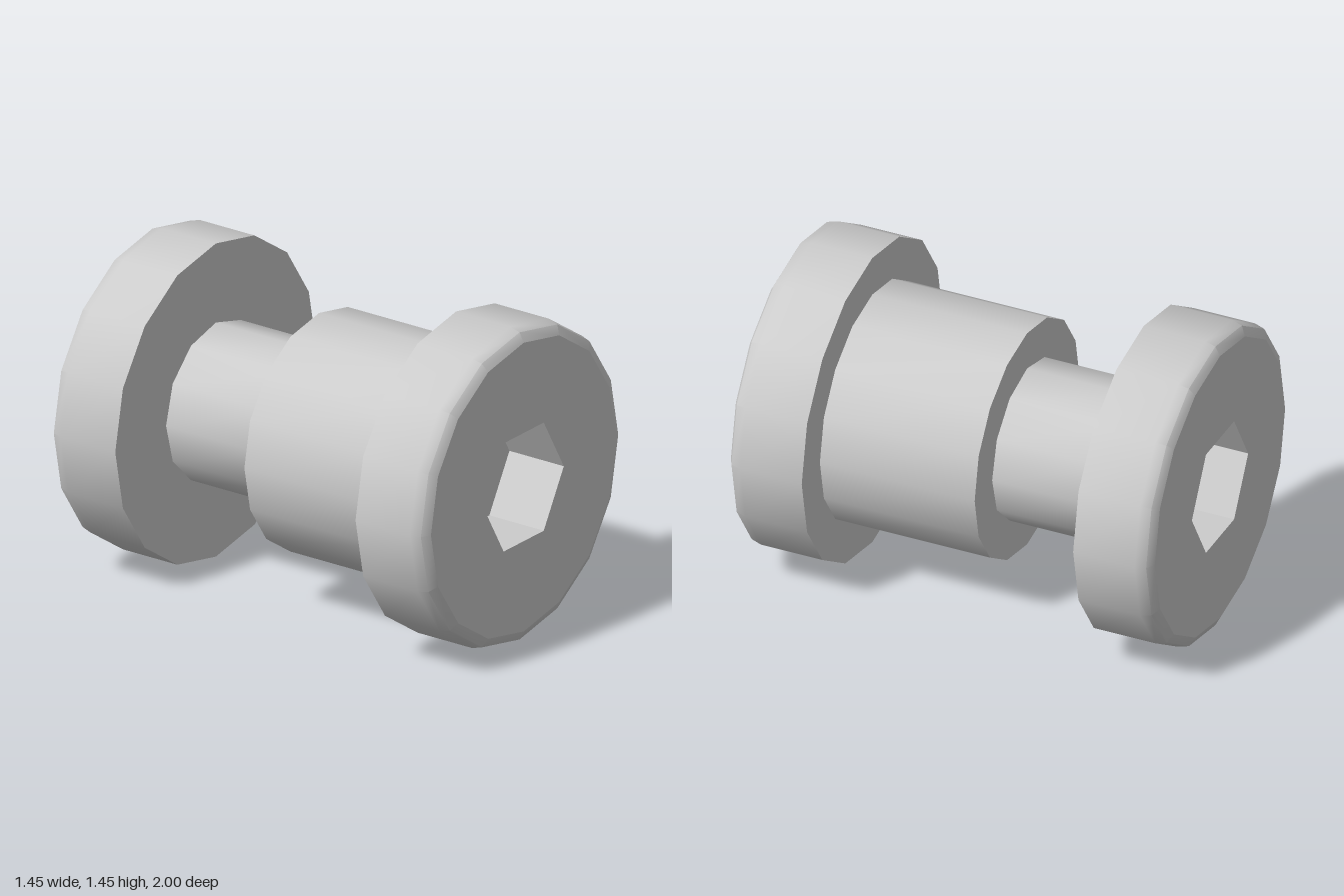
import * as THREE from 'three';
import { toCreasedNormals } from 'three/addons/utils/BufferGeometryUtils.js';

const HEAD_SIDES = 16, HEX_R = 0.29, BORE_R = 0.145, FLOOR_Z = 0.71, CAP_R = 0.67;

const material = new THREE.MeshStandardMaterial({ color: 0xcccccc });
const inner = new THREE.MeshStandardMaterial({ color: 0xcccccc, side: THREE.DoubleSide });

function add(parent, name, geometry, mat = material) {
  const mesh = new THREE.Mesh(geometry, mat);
  mesh.name = name;
  parent.add(mesh);
}

// Turned solid along z from [radius, z] pairs, listed from back to front
function turned(profile, sides) {
  const points = profile.map(([r, z]) => new THREE.Vector2(r, z));
  const geometry = new THREE.LatheGeometry(points, sides).rotateX(Math.PI / 2);
  return toCreasedNormals(geometry, 0.85);
}

function polygon(radius, sides, turn = 0) {
  return Array.from({ length: sides }, (_, i) => {
    const a = turn + (i / sides) * Math.PI * 2;
    return new THREE.Vector2(radius * Math.cos(a), radius * Math.sin(a));
  });
}

// Flat plate facing +z with a polygonal hole
function plate(outline, hole, z) {
  const shape = new THREE.Shape(outline);
  shape.holes.push(new THREE.Path(hole));
  return new THREE.ShapeGeometry(shape).translate(0, 0, z);
}

// Open polygonal tube between two depths, with flat sides
function openTube(outline, z0, z1) {
  const positions = [];
  outline.forEach((a, i) => {
    const b = outline[(i + 1) % outline.length];
    positions.push(a.x, a.y, z0, b.x, b.y, z1, b.x, b.y, z0);
    positions.push(a.x, a.y, z0, a.x, a.y, z1, b.x, b.y, z1);
  });
  const geometry = new THREE.BufferGeometry();
  geometry.setAttribute('position', new THREE.Float32BufferAttribute(positions, 3));
  geometry.computeVertexNormals();
  return geometry;
}

// Round head with a rolled rim and a hexagonal drive socket
function makeHead(name) {
  const head = new THREE.Group();
  head.name = name;
  const hex = polygon(HEX_R, 6);
  const bore = polygon(BORE_R, 8, 0.35);
  add(head, 'rim', turned([[0.3, 0.64], [0.727, 0.64], [0.727, 0.93], [0.713, 0.978], [CAP_R, 1]], HEAD_SIDES));
  add(head, 'face', plate(polygon(CAP_R, HEAD_SIDES), hex, 1));
  add(head, 'socketWalls', openTube(hex, FLOOR_Z, 1), inner);
  add(head, 'socketFloor', plate(hex, bore, FLOOR_Z));
  return head;
}

export function createModel() {
  const model = new THREE.Group();
  model.name = 'bindingPost';

  const frontHead = makeHead('frontHead');
  const rearHead = makeHead('rearHead');
  rearHead.rotation.y = Math.PI;
  model.add(frontHead, rearHead);

  // Wide barrel behind the front head, narrow shank entering it from the rear
  add(model, 'barrel', turned([[0.3, -0.09], [0.54, -0.09], [0.54, 0.64]], 16));
  add(model, 'shank', turned([[0.36, -0.64], [0.36, -0.09]], 12));

  // Through bore joining the two sockets
  add(model, 'bore', openTube(polygon(BORE_R, 8, 0.35), -FLOOR_Z, FLOOR_Z), inner);

  model.children.forEach((part) => { part.position.y = 0.727; });
  return model;
}
